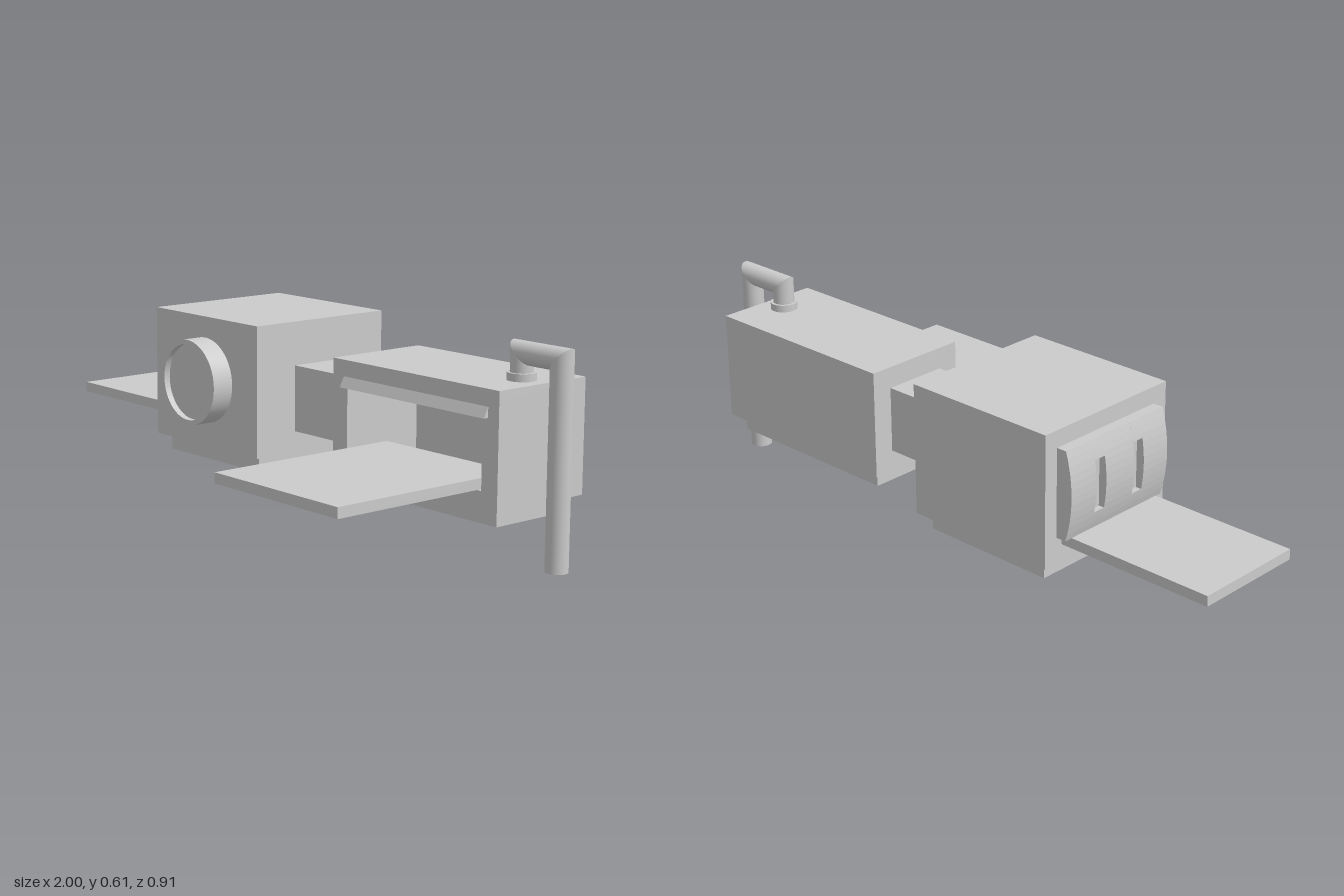
import * as THREE from 'three';

const material = new THREE.MeshStandardMaterial({ color: 0xcccccc });
const WALL = 0.06;

function add(parent, name, geometry) {
  const mesh = new THREE.Mesh(geometry, material);
  mesh.name = name;
  parent.add(mesh);
  return mesh;
}

// Box given by its limits on each axis
function block(parent, name, [x0, x1], [y0, y1], [z0, z1]) {
  const g = new THREE.BoxGeometry(x1 - x0, y1 - y0, z1 - z0);
  g.translate((x0 + x1) / 2, (y0 + y1) / 2, (z0 + z1) / 2);
  return add(parent, name, g);
}

const rect = (a, [u0, u1], [v0, v1]) =>
  new a([[u0, v0], [u1, v0], [u1, v1], [u0, v1]].map(p => new THREE.Vector2(...p)));

// Rectangular slab with a rectangular opening, extruded along +z
function frame(u, v, holeU, holeV, depth) {
  const shape = rect(THREE.Shape, u, v);
  shape.holes.push(rect(THREE.Path, holeU, holeV));
  return new THREE.ExtrudeGeometry(shape, { depth, bevelEnabled: false });
}

// Hollow housing open below, standing on an inset plinth; openSide has a hatch
function housing(name, x, y, z, openSide, hatchU, hatchV) {
  const group = new THREE.Group();
  group.name = name;
  const xi = [x[0] + WALL, x[1] - WALL], zi = [z[0] + WALL, z[1] - WALL];
  const yw = [y[0], y[1] - 0.03];
  block(group, 'roof', x, [yw[1], y[1]], z);
  block(group, 'backWall', x, yw, [z[0], zi[0]]);
  block(group, 'leftWall', [xi[1], x[1]], yw, [zi[0], z[1]]);
  if (openSide === 'front') {
    block(group, 'rightWall', [x[0], xi[0]], yw, [zi[0], z[1]]);
    const g = frame([xi[0], xi[1]].map((v, i) => v + (i ? 0.035 : -0.035)), yw, hatchU, hatchV, WALL);
    add(group, 'hatchWall', g.translate(0, 0, zi[1]));
  } else {
    block(group, 'frontWall', [x[0], xi[1]], yw, [zi[1], z[1]]);
    const g = frame([zi[0] - 0.02, zi[1] + 0.02], yw, hatchU, hatchV, WALL);
    add(group, 'hatchWall', g.rotateY(-Math.PI / 2).translate(xi[0], 0, 0));
  }
  const inset = ([a, b], d) => [a + d, b - d];
  const flip = ([a, b]) => [-b, -a];
  const plinth = frame(inset(x, 0.032), flip(inset(z, 0.032)), inset(x, WALL), flip(inset(z, WALL)), 0.05);
  add(group, 'plinth', plinth.rotateX(-Math.PI / 2).translate(0, y[0] - 0.05, 0));
  return group;
}

// Curved cover with two tall slots, extruded in strips along z
function hatchCover() {
  const group = new THREE.Group();
  group.name = 'hatchCover';
  const X = y => -0.535 - 0.021 * (1 - ((y - 0.388) / 0.133) ** 2);
  const strip = (z0, z1, y0, y1, back) => {
    const pts = [new THREE.Vector2(back, y0), new THREE.Vector2(back, y1)];
    for (let i = 0; i <= 12; i++) {
      const y = y1 + (y0 - y1) * i / 12;
      pts.push(new THREE.Vector2(X(y), y));
    }
    const g = new THREE.ExtrudeGeometry(new THREE.Shape(pts), { depth: z1 - z0, bevelEnabled: false });
    add(group, 'coverStrip', g.translate(0, 0, z0));
  };
  const cuts = [-0.41, -0.31, -0.27, -0.155, -0.115, -0.015];
  for (let i = 0; i < 5; i++) {
    if (i % 2 === 0) strip(cuts[i], cuts[i + 1], 0.255, 0.521, -0.5);
    else {
      strip(cuts[i], cuts[i + 1], 0.255, 0.31, -0.5);
      strip(cuts[i], cuts[i + 1], 0.465, 0.521, -0.5);
      block(group, 'slotBack', [-0.53, -0.5], [0.31, 0.465], [cuts[i], cuts[i + 1]]);
    }
  }
  return group;
}

// Mitred pipe: two uprights joined by a level run
function pipe() {
  const group = new THREE.Group();
  group.name = 'pipe';
  const R = 0.0325, z = -0.207, top = 0.58, xa = 0.822, xb = 0.9675;
  const upright = (name, x, y0, slope) => {
    const g = new THREE.CylinderGeometry(R, R, top - y0, 32);
    g.translate(0, (top + y0) / 2, 0);
    const p = g.attributes.position;
    for (let i = 0; i < p.count; i++)
      if (p.getY(i) > top - 0.001) p.setY(i, top + slope * p.getX(i));
    add(group, name, g.translate(x, 0, z));
  };
  upright('inletPipe', xa, 0.5, -1);
  upright('downPipe', xb, 0, 1);
  const g = new THREE.CylinderGeometry(R, R, xb - xa, 32);
  g.rotateZ(-Math.PI / 2);
  const p = g.attributes.position;
  for (let i = 0; i < p.count; i++)
    p.setX(i, p.getX(i) + Math.sign(p.getX(i)) * p.getY(i));
  add(group, 'levelPipe', g.translate((xa + xb) / 2, top, z));
  add(group, 'pipeCollar', new THREE.CylinderGeometry(0.041, 0.041, 0.022, 32).translate(xa, 0.516, z));
  return group;
}

export function createModel() {
  const model = new THREE.Group();
  model.name = 'linkedHousings';

  // Large housing with side hatch, ramp and cover
  model.add(housing('largeHousing', [-0.503, -0.01], [0.175, 0.572], [-0.455, 0.036],
    'right', [-0.39, -0.03], [0.225, 0.49]));
  block(model, 'sideRamp', [-1, -0.3], [0.225, 0.256], [-0.385, -0.035]);
  model.add(hatchCover());

  // Round port with a recessed face
  const profile = [[0, 0], [0.13, 0], [0.13, 0], [0.13, 0.07], [0.13, 0.07], [0.115, 0.07],
    [0.115, 0.07], [0.115, 0.05], [0.115, 0.05], [0, 0.05]].map(p => new THREE.Vector2(...p));
  const port = new THREE.LatheGeometry(profile.slice(2, 4), 48);
  const ring = new THREE.LatheGeometry(profile.slice(4, 6), 48);
  const lip = new THREE.LatheGeometry(profile.slice(6, 8), 48);
  const face = new THREE.LatheGeometry(profile.slice(8), 48);
  [['portWall', port], ['portRim', ring], ['portLip', lip], ['portFace', face]].forEach(([name, g]) =>
    add(model, name, g.rotateX(Math.PI / 2).translate(-0.258, 0.378, 0.035)));

  // Connecting duct
  block(model, 'duct', [-0.01, 0.24], [0.24, 0.44], [-0.31, -0.11]);

  // Small housing with front hatch, ramp and sloped awning
  model.add(housing('smallHousing', [0.24, 0.9], [0.175, 0.505], [-0.375, -0.043],
    'front', [0.285, 0.857], [0.225, 0.44]));
  block(model, 'frontRamp', [0.32, 0.825], [0.225, 0.256], [-0.18, 0.452]);
  const wedge = new THREE.Shape([[0.043, 0.457], [0.043, 0.427], [0.027, 0.427]].map(p => new THREE.Vector2(...p)));
  const awning = new THREE.ExtrudeGeometry(wedge, { depth: 0.575, bevelEnabled: false });
  awning.rotateY(Math.PI / 2).scale(1, 1, 1).translate(0.285, 0, 0);
  add(model, 'awning', awning);

  model.add(pipe());
  return model;
}
